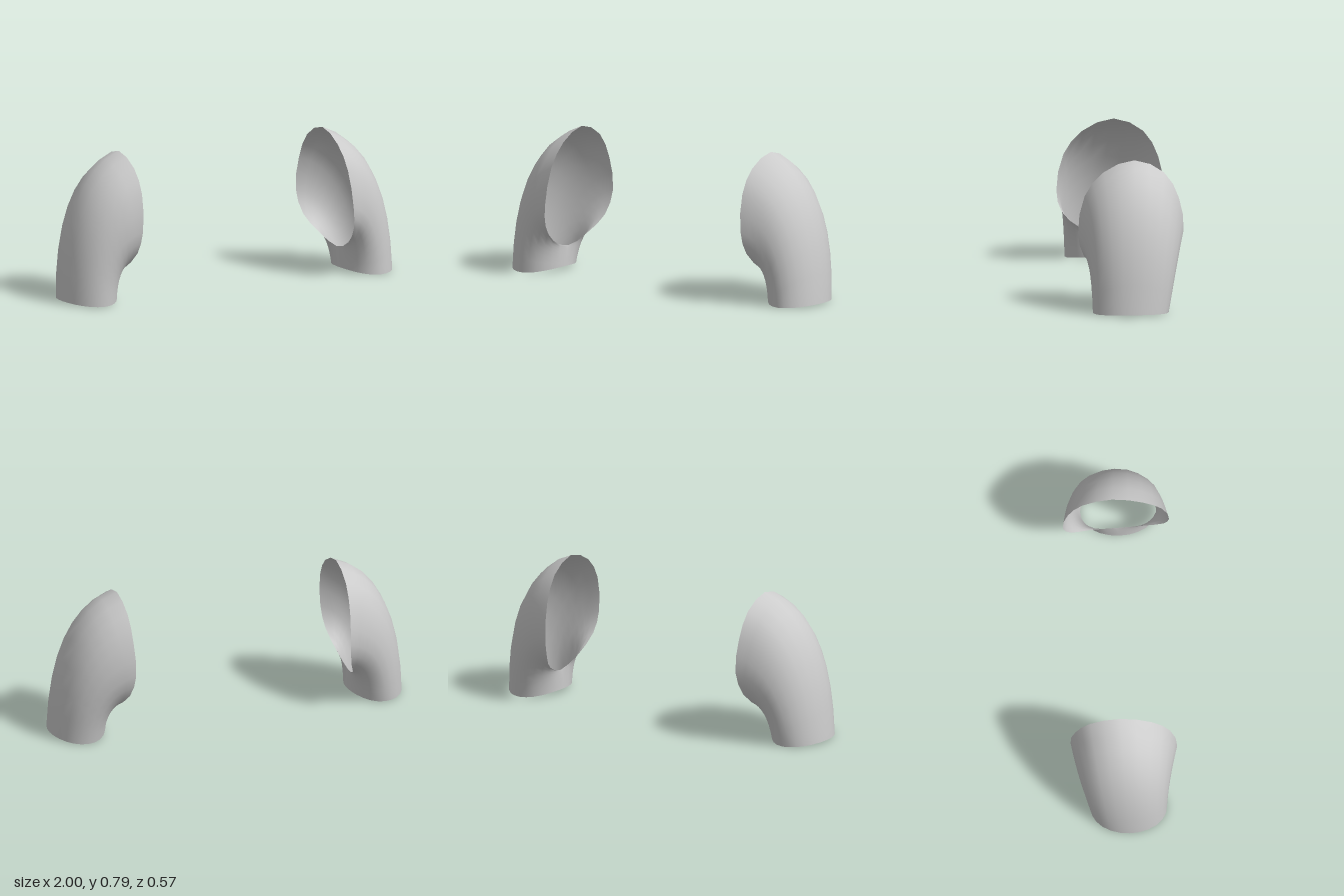
import * as THREE from 'three';

const COLS = 24, ROWS = 8;

// armhole rim of the left sleeve: from the shoulder top, over the front, underarm and back
const rim = new THREE.CatmullRomCurve3([
  [0.628, 0.79, -0.02], [0.628, 0.725, 0.15], [0.635, 0.6, 0.25], [0.65, 0.4, 0.287],
  [0.668, 0.28, 0.258], [0.695, 0.18, 0.15], [0.705, 0.13, 0], [0.68, 0.18, -0.14],
  [0.635, 0.27, -0.24], [0.615, 0.4, -0.286], [0.62, 0.58, -0.26], [0.625, 0.72, -0.18],
].map(p => new THREE.Vector3(...p)), true);

// oval cuff, slightly raised at the outer and inner sides
function cuffPoint(a) {
  const c = Math.cos(a);
  return new THREE.Vector3(0.85 + 0.15 * c, c * c * (c > 0 ? 0.01 : 0.022), 0.02 + 0.205 * Math.sin(a));
}

// open sleeve: each column is a curve from the cuff to the armhole
function sleeveGeometry(side) {
  const pos = [], index = [];
  for (let i = 0; i < COLS; i++) {
    const end = rim.getPoint(i / COLS);
    const start = cuffPoint(i / COLS * Math.PI * 2);
    const bulge = new THREE.Vector3(
      THREE.MathUtils.lerp(start.x, end.x, 0.08),
      THREE.MathUtils.lerp(start.y, end.y, 0.86),
      THREE.MathUtils.lerp(start.z, end.z, end.z < 0 ? 0.6 : 0.15));
    const column = new THREE.QuadraticBezierCurve3(start, bulge, end);
    for (let j = 0; j <= ROWS; j++) {
      const p = column.getPoint(j / ROWS);
      pos.push(p.x * side, p.y, p.z);
    }
  }
  for (let i = 0; i < COLS; i++) {
    for (let j = 0; j < ROWS; j++) {
      const a = i * (ROWS + 1) + j, b = ((i + 1) % COLS) * (ROWS + 1) + j;
      if (side > 0) index.push(a, a + 1, b, b, a + 1, b + 1);
      else index.push(a, b, a + 1, b, b + 1, a + 1);
    }
  }
  const geo = new THREE.BufferGeometry();
  geo.setAttribute('position', new THREE.Float32BufferAttribute(pos, 3));
  geo.setIndex(index);
  geo.computeVertexNormals();
  return geo;
}

export function createModel() {
  const group = new THREE.Group();
  group.name = 'sleeves';
  const cloth = new THREE.MeshStandardMaterial({ color: 0xcccccc, side: THREE.DoubleSide });
  for (const [name, side] of [['leftSleeve', 1], ['rightSleeve', -1]]) {
    const sleeve = new THREE.Mesh(sleeveGeometry(side), cloth);
    sleeve.name = name;
    group.add(sleeve);
  }
  return group;
}
